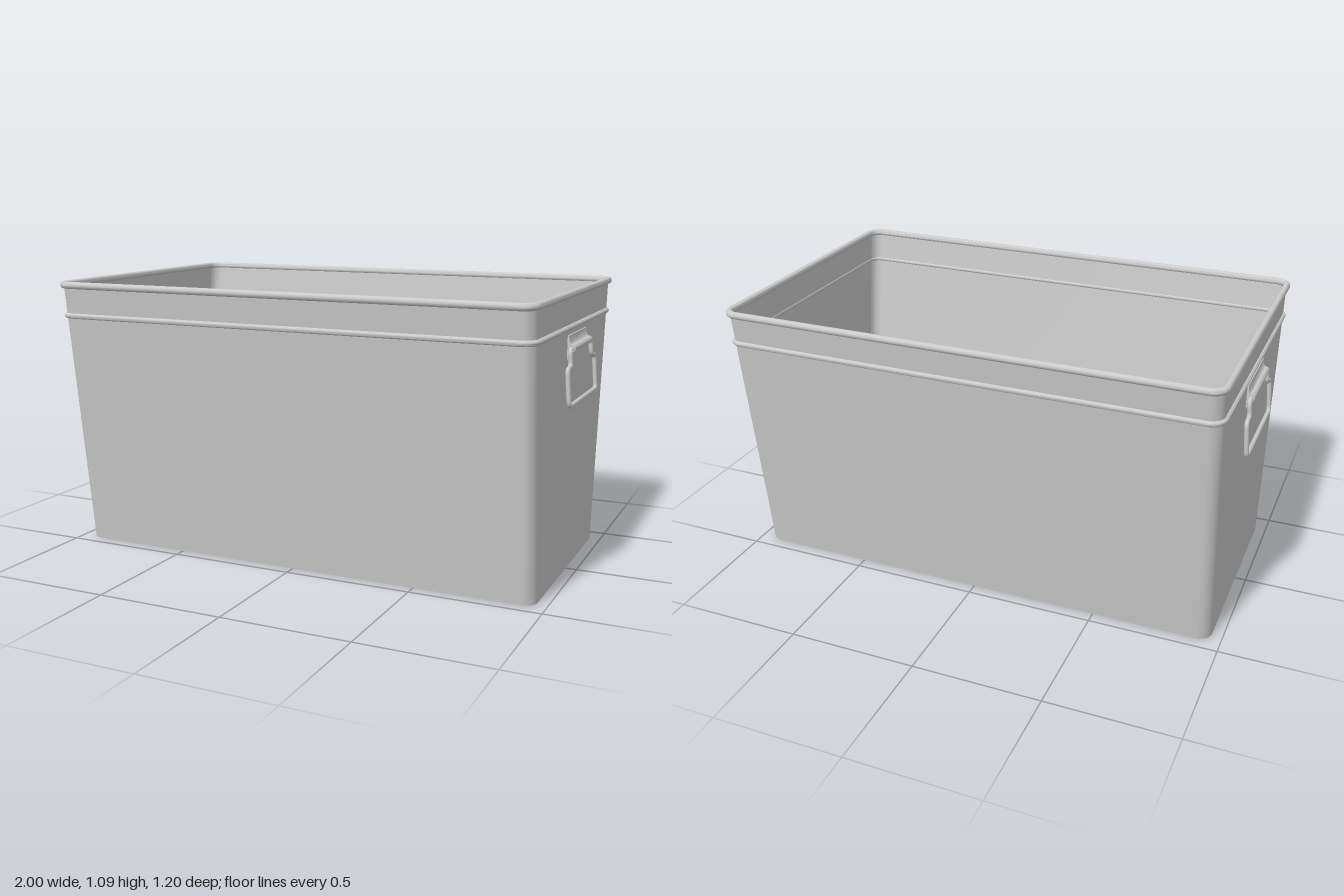
import * as THREE from 'three';
import { toCreasedNormals } from 'three/addons/utils/BufferGeometryUtils.js';

const grey = new THREE.MeshStandardMaterial({ color: 0xcccccc });
const HALF_X = 0.958, CORNER = 0.05, HANDLE_Z = -0.02;
const halfZ = (y) => 0.452 + 0.125 * y; // front and back walls flare upwards

// One horizontal rounded rectangle, running from +x towards +z
function ring(hx, hz, r, y, steps = 8) {
  const pts = [];
  [[1, 1], [-1, 1], [-1, -1], [1, -1]].forEach(([sx, sz], q) => {
    for (let k = 0; k <= steps; k++) {
      const a = (q + k / steps) * Math.PI / 2;
      pts.push([sx * (hx - r) + r * Math.cos(a), y, sz * (hz - r) + r * Math.sin(a)]);
    }
  });
  return pts;
}

// Ring following the tub wall at height y, moved outwards by off
const wallRing = (y, off, dy = 0) =>
  ring(HALF_X + off, halfZ(y) + off, CORNER + off, y + dy);

function loft(rings, crease = 0.7) {
  const n = rings[0].length, index = [];
  for (let j = 0; j < rings.length - 1; j++) {
    for (let i = 0; i < n; i++) {
      const a = j * n + i, c = j * n + (i + 1) % n;
      index.push(a, a + n, c, a + n, c + n, c);
    }
  }
  const geo = new THREE.BufferGeometry();
  geo.setAttribute('position', new THREE.Float32BufferAttribute(rings.flat(2), 3));
  geo.setIndex(index);
  return toCreasedNormals(geo, crease);
}

// Round bead running along the wall
function bead(y, radius, sides = 12) {
  const rings = [];
  for (let k = 0; k <= sides; k++) {
    const t = k / sides * Math.PI * 2;
    rings.push(wallRing(y, radius * Math.cos(t), radius * Math.sin(t)));
  }
  return loft(rings, 1);
}

// Closed path through the corners, each corner rounded
function roundedLoop(corners, radius) {
  const path = new THREE.CurvePath(), n = corners.length;
  const toward = (p, q) => p.clone().add(q.clone().sub(p).setLength(radius));
  corners.forEach((p, i) => {
    const prev = corners[(i + n - 1) % n], next = corners[(i + 1) % n];
    const end = toward(p, next);
    path.add(new THREE.QuadraticBezierCurve3(toward(p, prev), p, end));
    path.add(new THREE.LineCurve3(end, toward(next, p)));
  });
  return path;
}

function createHandle(s) {
  const group = new THREE.Group();
  const add = (geo, name) => {
    const mesh = new THREE.Mesh(geo, grey);
    mesh.name = name;
    group.add(mesh);
  };

  // Wire bail, hanging slightly outwards
  const half = [[0.163, 0.875], [0.163, 0.812], [0.212, 0.812], [0.212, 0.675]];
  const outline = [...half, ...half.map(([z, y]) => [-z, y]).reverse()];
  const corners = outline.map(([z, y]) =>
    new THREE.Vector3(s * (0.975 + (0.875 - y) * 0.08), y, HANDLE_Z + z));
  add(new THREE.TubeGeometry(roundedLoop(corners, 0.022), 240, 0.009, 8, true), 'handleWire');

  // Strap with a hump that holds the wire
  const profile = [[0.954, 0.923], [0.963, 0.923], [0.965, 0.901]];
  for (let k = 0; k <= 8; k++) {
    const a = 1.75 - k / 8 * 3.3;
    profile.push([0.975 + 0.014 * Math.cos(a), 0.877 + 0.014 * Math.sin(a)]);
  }
  profile.push([0.963, 0.856], [0.963, 0.836], [0.954, 0.836]);
  const shape = new THREE.Shape(profile.map(([x, y]) => new THREE.Vector2(s * x, y)));
  const strap = new THREE.ExtrudeGeometry(shape, { depth: 0.274, bevelEnabled: false });
  strap.translate(0, 0, HANDLE_Z - 0.137);
  add(toCreasedNormals(strap, 0.6), 'handleStrap');
  return group;
}

export function createModel() {
  const model = new THREE.Group();
  const add = (geo, name) => {
    const mesh = new THREE.Mesh(geo, grey);
    mesh.name = name;
    model.add(mesh);
  };

  // Thin-walled open tub: underside, outer wall, inner wall, floor
  const t = 0.008;
  add(loft([
    ring(0, 0, 0, 0),
    wallRing(0, 0),
    wallRing(1.072, 0),
    wallRing(1.072, -t),
    wallRing(t, -t),
    ring(0, 0, 0, t),
  ]), 'tub');
  add(bead(1.072, 0.014), 'rolledRim');
  add(bead(0.95, 0.011), 'wallRib');

  for (const s of [1, -1]) {
    const handle = createHandle(s);
    handle.name = s > 0 ? 'leftHandle' : 'rightHandle';
    model.add(handle);
  }
  return model;
}
